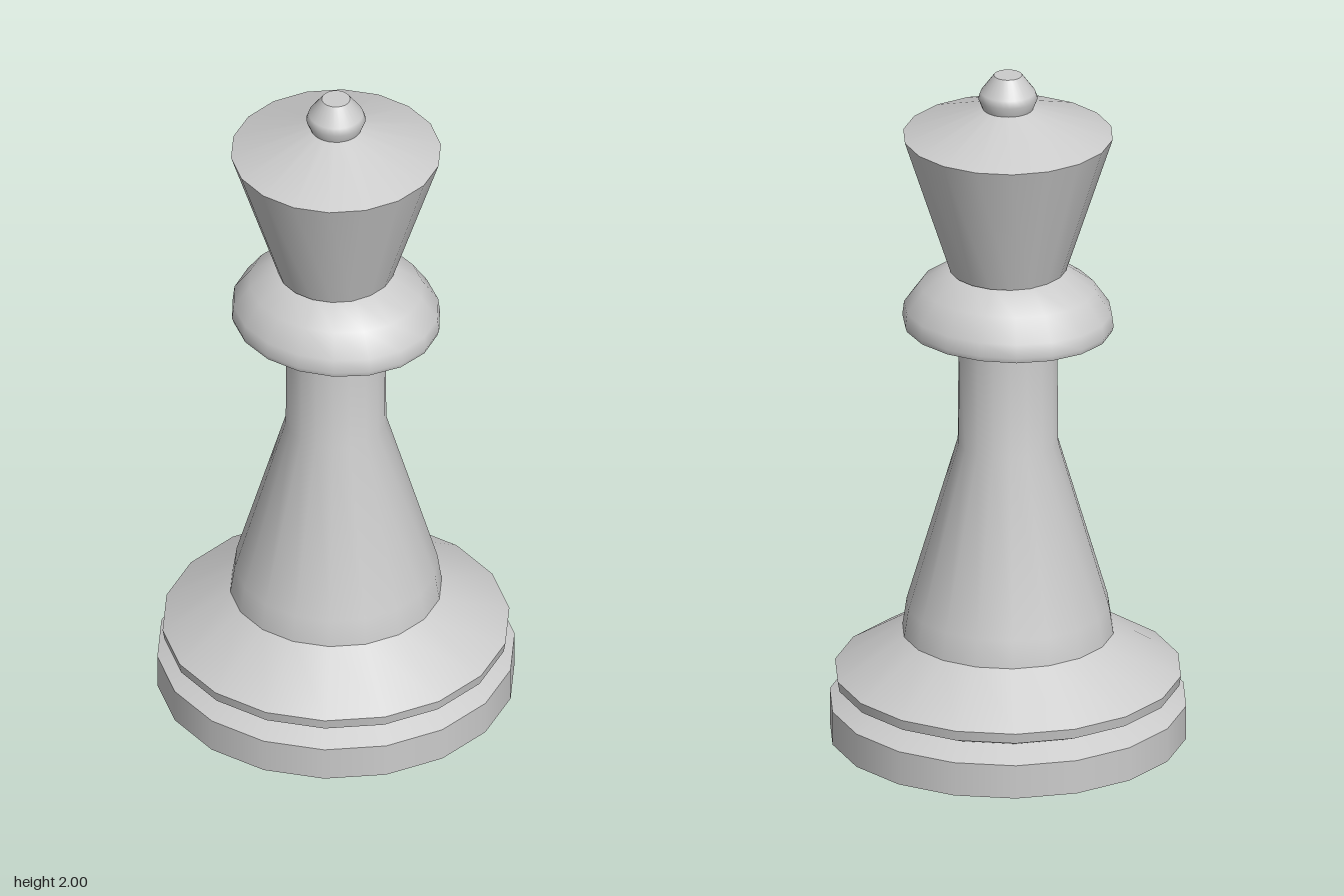
import * as THREE from 'three';

const SIDES = 18;
const material = new THREE.MeshStandardMaterial({ color: 0xcccccc });

// A turned part: each band is a smooth run of [radius, height] points,
// with a hard edge wherever one band ends and the next begins.
function turnedPart(name, bands, sides = SIDES) {
  const part = new THREE.Group();
  part.name = name;
  bands.forEach((band, i) => {
    const points = band.map(([r, y]) => new THREE.Vector2(r, y));
    // half a step of rotation puts a corner on the x axis
    const geometry = new THREE.LatheGeometry(points, sides, Math.PI / sides, Math.PI * 2);
    const mesh = new THREE.Mesh(geometry, material);
    mesh.name = `${name}Band${i + 1}`;
    part.add(mesh);
  });
  return part;
}

export function createModel() {
  const model = new THREE.Group();
  model.name = 'chessPiece';

  // Flat foot with a bevel running into the groove
  const foot = turnedPart('foot', [
    [[0, 0], [0.507, 0]],
    [[0.507, 0], [0.507, 0.1]],
    [[0.507, 0.1], [0.43, 0.135]],
  ]);

  // Flared skirt above the groove
  const skirt = turnedPart('skirt', [
    [[0.43, 0.135], [0.487, 0.16]],
    [[0.487, 0.16], [0.492, 0.19]],
    [[0.492, 0.19], [0.3, 0.31]],
  ]);

  // Tapered body and straight neck
  const stem = turnedPart('stem', [
    [[0.3, 0.31], [0.288, 0.39], [0.143, 0.885], [0.14, 1.24]],
  ]);

  // Rounded collar, slightly narrower front to back
  const collar = turnedPart('collar', [
    [[0, 1.235], [0.3, 1.235]],
    [[0.3, 1.235], [0.305, 1.25], [0.3, 1.29], [0.253, 1.355], [0.168, 1.412], [0.1, 1.415]],
  ]);
  collar.scale.z = 0.91;

  // Flaring crown with a shallow conical lid
  const crown = turnedPart('crown', [
    [[0.165, 1.41], [0.298, 1.818]],
    [[0.298, 1.818], [0.06, 1.905]],
  ]);

  // Small finial on top
  const finial = turnedPart('finial', [
    [[0.07, 1.895], [0.084, 1.93], [0.077, 1.95], [0.04, 2]],
    [[0.04, 2], [0, 2]],
  ], 30);

  model.add(foot, skirt, stem, collar, crown, finial);
  return model;
}
